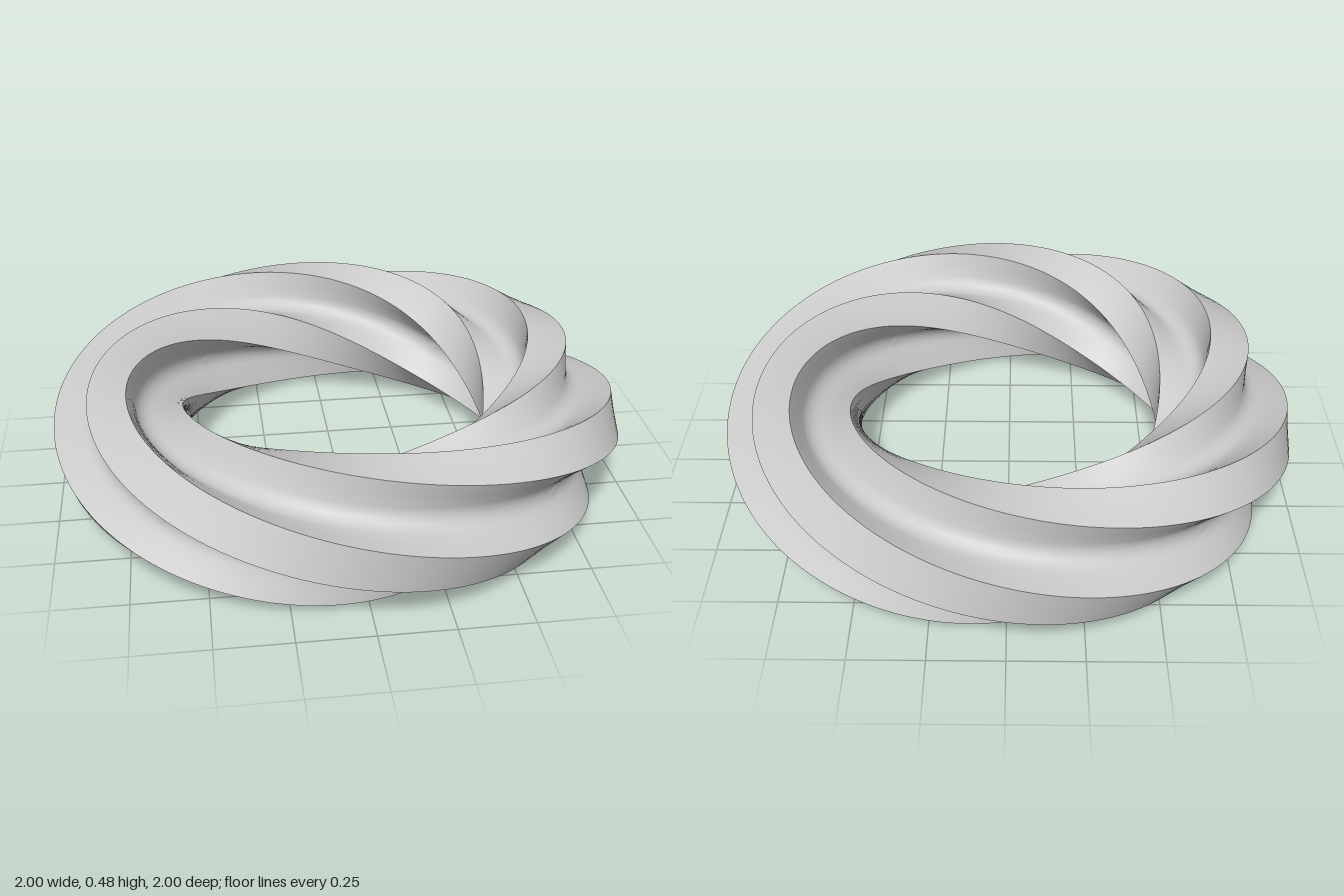
import * as THREE from 'three';
import { toCreasedNormals } from 'three/addons/utils/BufferGeometryUtils.js';

const RING = 0.77;      // ring centre line
const ARM = 0.228;      // reach of each arm of the cross-section
const HALF = 0.072;     // half width of an arm
const FILLET = 0.06;    // rounding of the valleys between arms
const STEPS = 160;

// Cross-shaped section with flat tips and rounded valleys, counter-clockwise
function crossSection() {
  const arm = [[ARM, -HALF], [ARM, 0], [ARM, HALF], [(ARM + HALF + FILLET) / 2, HALF]];
  const c = HALF + FILLET;
  for (let i = 0; i <= 5; i++) {
    const a = -Math.PI / 2 - (i / 5) * Math.PI / 2;
    arm.push([c + FILLET * Math.cos(a), c + FILLET * Math.sin(a)]);
  }
  arm.push([HALF, (ARM + HALF + FILLET) / 2]);
  const points = [];
  for (let q = 0; q < 4; q++) {
    for (const [x, y] of arm) {
      points.push(new THREE.Vector2(x, y).rotateAround(new THREE.Vector2(), q * Math.PI / 2));
    }
  }
  return points;
}

// Sweep the section round the ring, turning it once per lap
function twistedRing() {
  const section = crossSection();
  const n = section.length;
  const positions = [];
  const indices = [];
  for (let i = 0; i < STEPS; i++) {
    const phi = (i / STEPS) * Math.PI * 2;
    const c = Math.cos(phi), s = Math.sin(phi);
    for (let j = 0; j < n; j++) {
      const p = section[j];
      const r = RING + p.x * c - p.y * s;
      positions.push(r * c, p.x * s + p.y * c, r * s);
      const k = (j + 1) % n, next = (i + 1) % STEPS;
      const a = i * n + j, b = i * n + k, d = next * n + j, e = next * n + k;
      indices.push(a, b, d, b, e, d);
    }
  }
  const geometry = new THREE.BufferGeometry();
  geometry.setAttribute('position', new THREE.Float32BufferAttribute(positions, 3));
  geometry.setIndex(indices);
  return toCreasedNormals(geometry, 0.7);
}

export function createModel() {
  const group = new THREE.Group();
  group.name = 'twistedRingModel';
  const ring = new THREE.Mesh(twistedRing(), new THREE.MeshStandardMaterial({ color: 0xcccccc }));
  ring.name = 'twistedRing';
  ring.position.y = Math.hypot(ARM, HALF);
  group.add(ring);
  return group;
}
